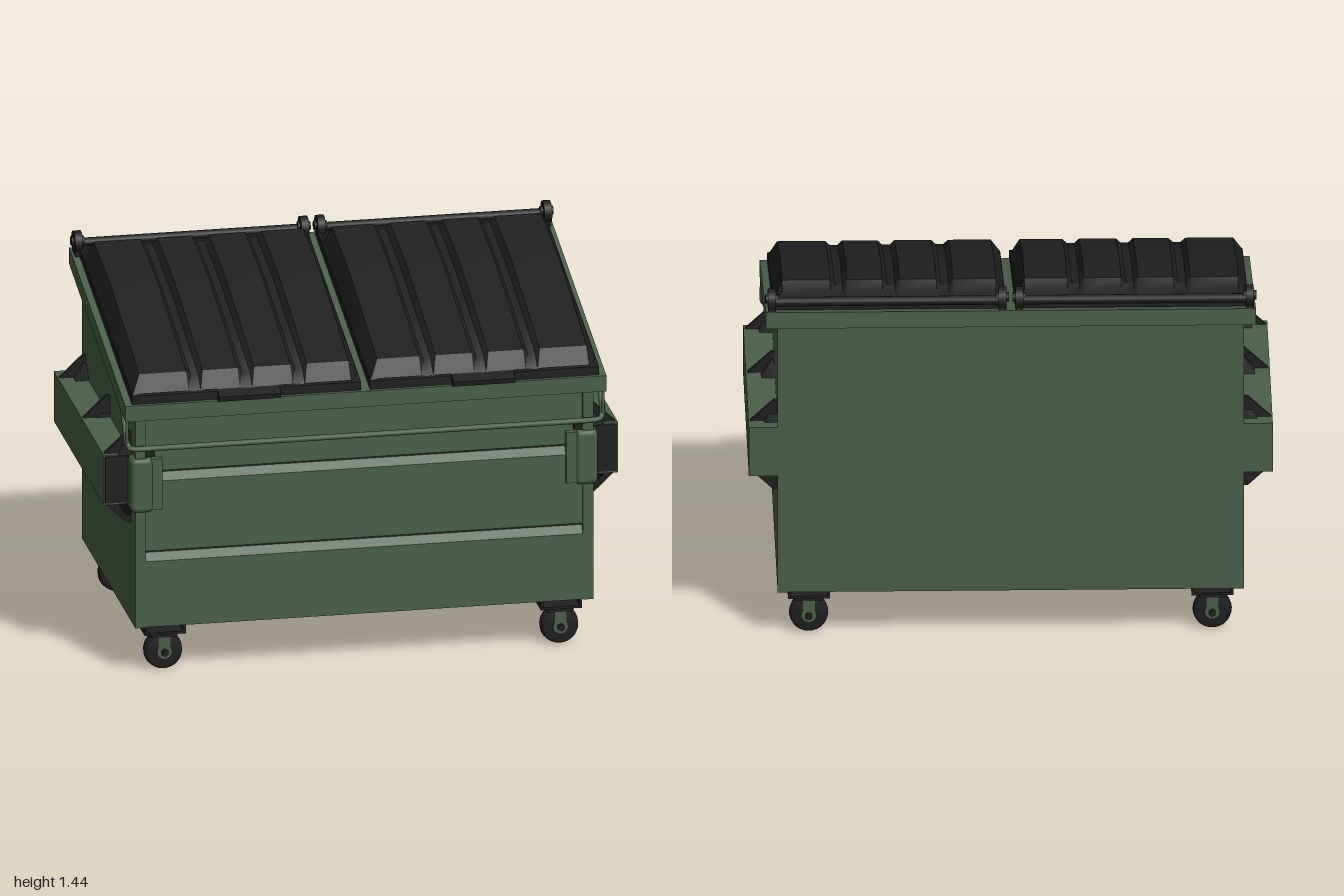
import * as THREE from 'three';
import { toCreasedNormals } from 'three/addons/utils/BufferGeometryUtils.js';
import { RoundedBoxGeometry } from 'three/addons/geometries/RoundedBoxGeometry.js';

const green = new THREE.MeshStandardMaterial({ color: 0x4a5f4a });
green.name = 'green painted steel';
const black = new THREE.MeshStandardMaterial({ color: 0x202020, side: THREE.DoubleSide });
black.name = 'black plastic';

function add(parent, name, geometry, material, x = 0, y = 0, z = 0) {
  const mesh = new THREE.Mesh(geometry, material);
  mesh.name = name;
  mesh.position.set(x, y, z);
  parent.add(mesh);
  return mesh;
}

// Box given by its limits on each axis
function block(parent, name, material, [x0, x1], [y0, y1], [z0, z1], radius = 0) {
  const size = [Math.abs(x1 - x0), y1 - y0, z1 - z0];
  const geo = radius ? new RoundedBoxGeometry(...size, 2, radius) : new THREE.BoxGeometry(...size);
  return add(parent, name, geo, material, (x0 + x1) / 2, (y0 + y1) / 2, (z0 + z1) / 2);
}

// Side profile of [z, y] points, extruded across x
function slab(points, width) {
  const shape = new THREE.Shape(points.map(([z, y]) => new THREE.Vector2(z, y)));
  const geo = new THREE.ExtrudeGeometry(shape, { depth: width, bevelEnabled: false });
  return geo.translate(0, 0, -width / 2).rotateY(-Math.PI / 2);
}

const rimY = z => 1.1 + (0.545 - z) * 0.232;

// Ribbed, domed lid surface: profile along z, raised panels along x
function lidDome(side) {
  const stations = [[-0.515, 1.385], [-0.46, 1.4], [-0.42, 1.43], [-0.25, 1.405],
    [-0.07, 1.37], [0.2, 1.293], [0.485, 1.205], [0.535, 1.143]];
  let ribs = [[0.02, 0], [0.055, 1]];
  for (const g of [0.25, 0.455, 0.655]) {
    ribs.push([g - 0.032, 1], [g - 0.015, 0.7], [g + 0.015, 0.7], [g + 0.032, 1]);
  }
  ribs.push([0.87, 1], [0.905, 0]);
  if (side < 0) ribs = ribs.map(([x, f]) => [-x, f]).reverse();
  const geo = new THREE.PlaneGeometry(1, 1, ribs.length - 1, stations.length - 1);
  const pos = geo.attributes.position;
  stations.forEach(([z, top], j) => ribs.forEach(([x, f], i) => {
    const base = rimY(z) + 0.035;
    pos.setXYZ(j * ribs.length + i, x, base + Math.max(0, top - base) * f, z);
  }));
  return toCreasedNormals(geo, 0.5);
}

function addLid(parent, side) {
  const lid = new THREE.Group();
  lid.name = side > 0 ? 'leftLid' : 'rightLid';
  parent.add(lid);
  const edge = [[0.54, rimY(0.54) + 0.002], [0.54, rimY(0.54) + 0.035],
    [-0.52, rimY(-0.52) + 0.035], [-0.52, rimY(-0.52) + 0.002]];
  add(lid, 'lidEdge', slab(edge, 0.89), black, side * 0.4625);
  add(lid, 'lidDome', lidDome(side), black);
  const tab = [[0.575, 1.105], [0.58, 1.125], [0.53, 1.142], [0.53, 1.09]];
  add(lid, 'lidTab', slab(tab, 0.24), black, side * 0.455);

  // Hinge rod with a barrel at each end
  const rod = new THREE.CylinderGeometry(0.018, 0.018, 0.9, 12).rotateZ(Math.PI / 2);
  add(lid, 'hingeRod', rod, black, side * 0.475, 1.39, -0.535);
  for (const x of [0.032, 0.912]) {
    const barrel = new THREE.CylinderGeometry(0.043, 0.043, 0.03, 20).rotateZ(Math.PI / 2);
    add(lid, 'hingeBarrel', barrel, black, side * x, 1.396, -0.53);
    block(lid, 'hingeFoot', black, [side * (x - 0.013), side * (x + 0.013)], [1.34, 1.4], [-0.565, -0.5]);
    const pin = new THREE.CylinderGeometry(0.018, 0.018, 0.05, 12).rotateZ(Math.PI / 2);
    add(lid, 'hingePin', pin, black, side * x, 1.4, -0.53);
  }
}

// Fin and pyramid web that brace a fork pocket against the wall
function addGusset(parent, side, z, up, webShift) {
  const y = up > 0 ? 0.872 : 0.673;
  const fin = new THREE.Shape([[0.885, 0], [0.995, 0], [0.905, 0.085], [0.885, 0.085]]
    .map(([px, py]) => new THREE.Vector2(side * px, up * py)));
  const finGeo = new THREE.ExtrudeGeometry(fin, { depth: 0.016, bevelEnabled: false });
  add(parent, 'gussetFin', finGeo, black, 0, y, z - 0.008);
  const web = new THREE.ConeGeometry(0.06, 0.065, 4).rotateY(Math.PI / 4).scale(1, up, 1);
  add(parent, 'gussetWeb', web, black, side * 0.9, y + up * 0.032, z + webShift);
}

function addForkPocket(parent, side) {
  const pocket = new THREE.Group();
  pocket.name = side > 0 ? 'leftForkPocket' : 'rightForkPocket';
  parent.add(pocket);
  const xs = (a, b) => [side * a, side * b];
  block(pocket, 'pocketSleeve', green, xs(0.88, 1), [0.672, 0.873], [-0.545, 0.45]);
  block(pocket, 'pocketOpening', black, xs(0.9, 0.995), [0.68, 0.868], [0.446, 0.455]);
  block(pocket, 'pocketGuide', green, xs(0.82, 0.908), [0.655, 0.875], [0.44, 0.527], 0.02);
  block(pocket, 'guidePlate', green, xs(0.785, 0.83), [0.665, 0.87], [0.47, 0.52]);
  block(pocket, 'guideClip', black, xs(0.815, 0.85), [0.88, 0.905], [0.49, 0.52]);
  for (const [z, shift] of [[0.42, 0], [0, -0.025], [-0.47, 0.015]]) {
    for (const up of [1, -1]) addGusset(pocket, side, z, up, shift);
  }
}

function addCaster(parent, x, z) {
  const caster = new THREE.Group();
  caster.name = 'caster';
  caster.position.set(x, 0, z);
  parent.add(caster);
  // Open channel mount
  for (const s of [-1, 1]) {
    block(caster, 'mountSide', black, [s * 0.07, s * 0.08], [0.155, 0.192], [-0.053, 0.053]);
  }
  block(caster, 'mountPlate', black, [-0.08, 0.08], [0.15, 0.16], [-0.053, 0.053]);
  block(caster, 'swivel', black, [-0.05, 0.05], [0.135, 0.152], [-0.042, 0.042]);
  // Wheel with rounded tread, turning about z
  const tread = [[0.02, -0.03], [0.062, -0.03], [0.072, -0.02], [0.075, 0], [0.072, 0.02], [0.062, 0.03], [0.02, 0.03]];
  const wheel = new THREE.LatheGeometry(tread.map(p => new THREE.Vector2(...p)), 28).rotateX(Math.PI / 2);
  add(caster, 'wheel', wheel, black, 0, 0.075, 0);
  for (const s of [-1, 1]) {
    block(caster, 'forkArm', green, [-0.025, 0.025], [0.075, 0.14], [s * 0.037 - 0.004, s * 0.037 + 0.004]);
    const hub = new THREE.CylinderGeometry(0.03, 0.03, 0.01, 16).rotateX(Math.PI / 2);
    add(caster, 'hub', hub, green, 0, 0.075, s * 0.036);
    const bolt = new THREE.CylinderGeometry(0.014, 0.014, 0.02, 6).rotateX(Math.PI / 2);
    add(caster, 'axleBolt', bolt, black, 0, 0.075, s * 0.046);
  }
}

export function createModel() {
  const model = new THREE.Group();
  model.name = 'wasteContainer';

  // Hull with three stepped front panels, closed by flat side walls
  const hull = [[-0.547, 0.19], [0.512, 0.19], [0.512, 0.455], [0.49, 0.485], [0.503, 0.495],
    [0.503, 0.775], [0.482, 0.805], [0.495, 0.815], [0.495, 1.09], [-0.547, 1.33]];
  add(model, 'hull', slab(hull, 1.7), green);
  const wall = [[-0.548, 0.19], [0.516, 0.19], [0.516, 1.08], [-0.548, 1.33]];
  for (const s of [-1, 1]) add(model, 'sideWall', slab(wall, 0.04), green, s * 0.87);

  // Sloping rim
  const rim = [[0.548, 1.037], [0.548, 1.1], [-0.57, 1.36], [-0.575, 1.295], [-0.55, 1.287], [0.455, 1.052]];
  add(model, 'rim', slab(rim, 1.87), green);

  // Bail bar hanging below the front rim
  const corners = [[0.925, 1.06, 0.45], [0.925, 0.935, 0.53], [0.91, 0.92, 0.535]];
  const path = [...corners, ...corners.map(([x, y, z]) => [-x, y, z]).reverse()]
    .map(p => new THREE.Vector3(...p));
  const bar = new THREE.CurvePath();
  for (let i = 1; i < path.length; i++) bar.add(new THREE.LineCurve3(path[i - 1], path[i]));
  add(model, 'bailBar', new THREE.TubeGeometry(bar, 80, 0.011, 8), green);
  for (const s of [-1, 1]) {
    const strut = new THREE.LineCurve3(new THREE.Vector3(s * 0.925, 1.05, 0.53), new THREE.Vector3(s * 0.925, 0.93, 0.53));
    add(model, 'bailStrut', new THREE.TubeGeometry(strut, 1, 0.006, 8), green);
  }

  for (const s of [-1, 1]) {
    addLid(model, s);
    addForkPocket(model, s);
    for (const z of [0.443, -0.465]) addCaster(model, s * 0.77, z);
  }
  return model;
}
